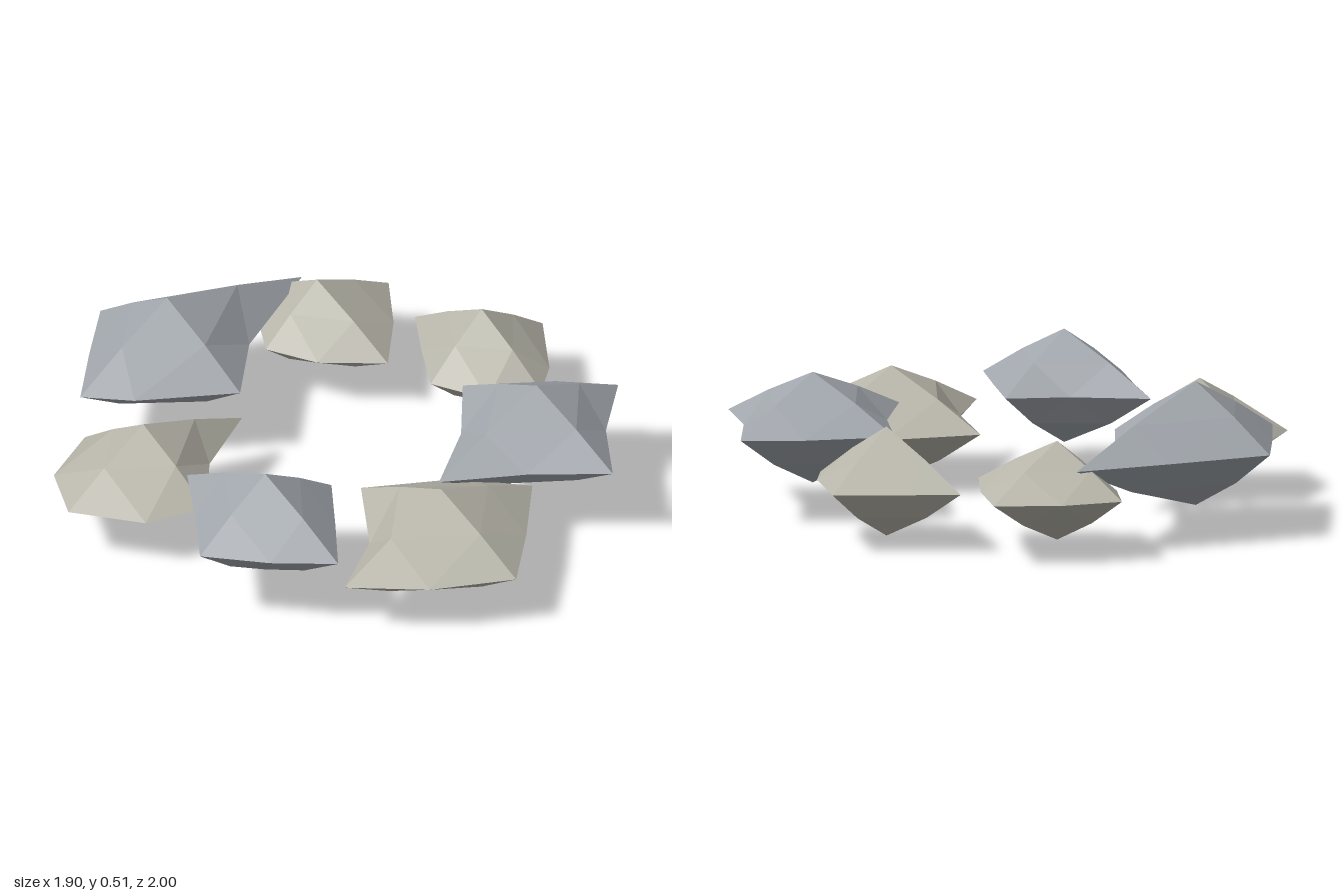
import * as THREE from 'three';

const warm = new THREE.MeshStandardMaterial({ color: 0xb9b7ab, flatShading: true });
const cool = new THREE.MeshStandardMaterial({ color: 0xa2a7ad, flatShading: true });

// Each stone: centre, reach along [+,-] of each axis, and the
// equator corners [x, z] in the order ++, +-, -+, --.
const stones = [
  { name: 'backStone', mat: cool, c: [-0.15, 0.3, -0.68], x: [0.62, 0.4], y: [0.21, 0.21], z: [0.35, 0.32],
    rim: [[0.22, 0.165], [0.33, 0.155], [0.285, 0.14], [0.2, 0.165]] },
  { name: 'backRightStone', mat: warm, c: [-0.61, 0.21, -0.315], x: [0.455, 0.345], y: [0.19, 0.165], z: [0.3, 0.28],
    rim: [[0.19, 0.12], [0.155, 0.13], [0.205, 0.225], [0.23, 0.19]] },
  { name: 'frontRightStone', mat: cool, c: [-0.61, 0.3, 0.27], x: [0.305, 0.3], y: [0.19, 0.195], z: [0.35, 0.375],
    rim: [[0.155, 0.175], [0.15, 0.15], [0.16, 0.19], [0.15, 0.18]] },
  { name: 'frontStone', mat: warm, c: [-0.15, 0.205, 0.635], x: [0.42, 0.445], y: [0.185, 0.205], z: [0.36, 0.385],
    rim: [[0.205, 0.195], [0.27, 0.2], [0.25, 0.205], [0.205, 0.13]] },
  { name: 'frontLeftStone', mat: cool, c: [0.415, 0.3, 0.505], x: [0.375, 0.45], y: [0.175, 0.2], z: [0.365, 0.355],
    rim: [[0.16, 0.165], [0.24, 0.16], [0.21, 0.17], [0.2, 0.155]] },
  { name: 'backLeftStone', mat: warm, c: [0.415, 0.21, -0.55], x: [0.33, 0.235], y: [0.17, 0.165], z: [0.34, 0.28],
    rim: [[0.18, 0.18], [0.18, 0.17], [0.165, 0.175], [0.13, 0.15]] },
  { name: 'leftStone', mat: warm, c: [0.67, 0.21, -0.025], x: [0.28, 0.235], y: [0.19, 0.18], z: [0.285, 0.32],
    rim: [[0.115, 0.205], [0.12, 0.185], [0.16, 0.195], [0.12, 0.165]] },
];

// Uneven octahedron whose eight sides are each split into four facets
function stoneGeometry({ x, y, z, rim }) {
  const pos = [];
  for (let i = 0; i < 8; i++) {
    const ix = i & 1, iy = (i >> 1) & 1, iz = (i >> 2) & 1;
    const sx = 1 - 2 * ix, sy = 1 - 2 * iy, sz = 1 - 2 * iz;
    const X = [sx * x[ix], 0, 0], Y = [0, sy * y[iy], 0], Z = [0, 0, sz * z[iz]];
    const k = iy ? 0.54 : 0.52; // the underside bulges a little more
    const XY = [X[0] * k, Y[1] * k, 0];
    const YZ = [0, Y[1] * k, Z[2] * k];
    const [rx, rz] = rim[ix * 2 + iz];
    const ZX = [sx * rx, 0, sz * rz];
    for (const [a, b, c] of [[X, XY, ZX], [XY, Y, YZ], [ZX, YZ, Z], [XY, YZ, ZX]]) {
      // mirrored octants need the opposite corner order
      pos.push(...a, ...(sx * sy * sz > 0 ? [...b, ...c] : [...c, ...b]));
    }
  }
  const geo = new THREE.BufferGeometry();
  geo.setAttribute('position', new THREE.Float32BufferAttribute(pos, 3));
  geo.computeVertexNormals();
  return geo;
}

export function createModel() {
  const group = new THREE.Group();
  group.name = 'stoneRing';
  for (const s of stones) {
    const mesh = new THREE.Mesh(stoneGeometry(s), s.mat);
    mesh.name = s.name;
    mesh.position.set(...s.c);
    group.add(mesh);
  }
  return group;
}
